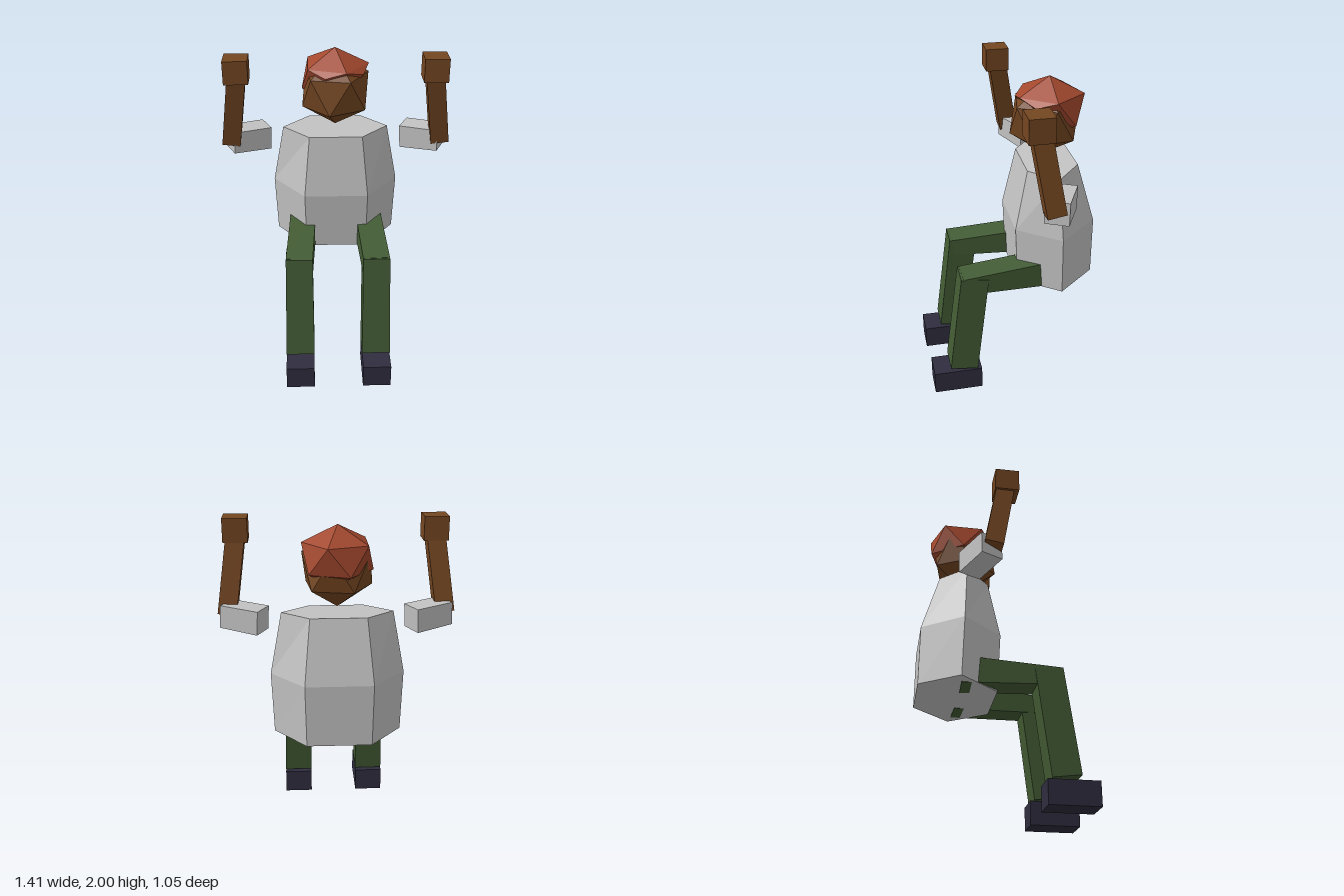
import * as THREE from 'three';

const mat = (name, color) => {
  const m = new THREE.MeshStandardMaterial({ color, flatShading: true });
  m.name = name;
  return m;
};

// Rewrites every vertex of a geometry by a rule, then rebuilds flat normals
function reshape(geometry, rule) {
  const g = geometry.index ? geometry.toNonIndexed() : geometry;
  const p = g.attributes.position;
  const v = new THREE.Vector3();
  for (let i = 0; i < p.count; i++) {
    rule(v.fromBufferAttribute(p, i));
    p.setXYZ(i, v.x, v.y, v.z);
  }
  g.computeVertexNormals();
  return g;
}

// Tapered box running from a to b; sizes are [width along side, depth] at each end
function limb(a, b, sizeA, sizeB, side) {
  const dir = b.clone().sub(a).normalize();
  const zAxis = side.clone().cross(dir).normalize();
  const xAxis = dir.clone().cross(zAxis);
  return reshape(new THREE.BoxGeometry(1, 1, 1), (v) => {
    const t = v.y + 0.5;
    const w = v.x * THREE.MathUtils.lerp(sizeA[0], sizeB[0], t);
    const d = v.z * THREE.MathUtils.lerp(sizeA[1], sizeB[1], t);
    v.lerpVectors(a, b, t).addScaledVector(xAxis, w).addScaledVector(zAxis, d);
  });
}

// Icosahedron standing on one corner, turned about y
function corneredIcosahedron(radius, turnDegrees) {
  const g = new THREE.IcosahedronGeometry(radius, 0);
  g.rotateX(-Math.atan((1 + Math.sqrt(5)) / 2));
  g.rotateY(THREE.MathUtils.degToRad(turnDegrees));
  return g;
}

export function createModel() {
  const model = new THREE.Group();
  model.name = 'seatedFigure';

  const shirt = mat('light grey shirt', 0xc2c2c2);
  const skin = mat('brown skin', 0x744621);
  const hairRed = mat('red brown hair', 0xa3482e);
  const trousers = mat('green trousers', 0x435c35);
  const shoes = mat('dark shoes', 0x2f2d3e);

  const add = (name, geometry, material) => {
    const mesh = new THREE.Mesh(geometry, material);
    mesh.name = name;
    model.add(mesh);
    return mesh;
  };

  // Torso: three hexagonal rings, bottom to top
  const rings = [
    { y: 0.722, halfX: 0.385, halfZ: 0.24, z: -0.285 },
    { y: 1.097, halfX: 0.4, halfZ: 0.247, z: -0.275 },
    { y: 1.473, halfX: 0.33, halfZ: 0.155, z: -0.26 },
  ];
  const torso = new THREE.CylinderGeometry(1, 1, 1, 6, 2, false, Math.PI / 6);
  add('torso', reshape(torso, (v) => {
    const r = rings[Math.round((v.y + 0.5) * 2)];
    v.set(v.x * r.halfX, r.y - v.z * 0.009, r.z + (v.z / 0.866) * r.halfZ);
  }), shirt);

  // Head
  const head = corneredIcosahedron(0.232, 25);
  head.translate(0, 1.733, -0.243);
  head.computeVertexNormals();
  add('head', head, skin);

  // Hair: flattened cap whose front corners are lifted off the face
  add('hair', reshape(corneredIcosahedron(0.232, 18), (v) => {
    const lowFront = v.y < -0.05 && v.z > 0.05;
    v.set(v.x, 1.808 + v.y * 0.78, v.z - 0.27);
    if (lowFront) v.y = 1.855;
    v.z = Math.min(v.z, -0.075);
  }), hairRed);

  const xHint = new THREE.Vector3(1, 0, 0);
  const yHint = new THREE.Vector3(0, 1, 0);

  for (const [s, label] of [[1, 'left'], [-1, 'right']]) {
    const at = (x, y, z) => new THREE.Vector3(s * x, y, z);

    // Leg
    add(label + 'Thigh', limb(at(0.211, 0.804, -0.27), at(0.238, 0.789, 0.32),
      [0.167, 0.172], [0.165, 0.112], xHint), trousers);
    add(label + 'Shin', limb(at(0.243, 0.168, 0.333), at(0.238, 0.834, 0.249),
      [0.18, 0.177], [0.165, 0.173], xHint), trousers);
    add(label + 'Shoe', new THREE.BoxGeometry(0.178, 0.15, 0.31), shoes)
      .position.copy(at(0.244, 0.075, 0.373));

    // Arm
    add(label + 'Sleeve', limb(at(0.436, 1.425, -0.26), at(0.657, 1.439, -0.155),
      [0.143, 0.145], [0.137, 0.143], yHint), shirt);
    add(label + 'Forearm', limb(at(0.648, 1.433, -0.148), at(0.588, 1.88, -0.07),
      [0.112, 0.112], [0.11, 0.11], xHint), skin);
    add(label + 'Hand', new THREE.BoxGeometry(0.146, 0.142, 0.146), skin)
      .position.copy(at(0.587, 1.929, -0.062));
  }

  return model;
}
